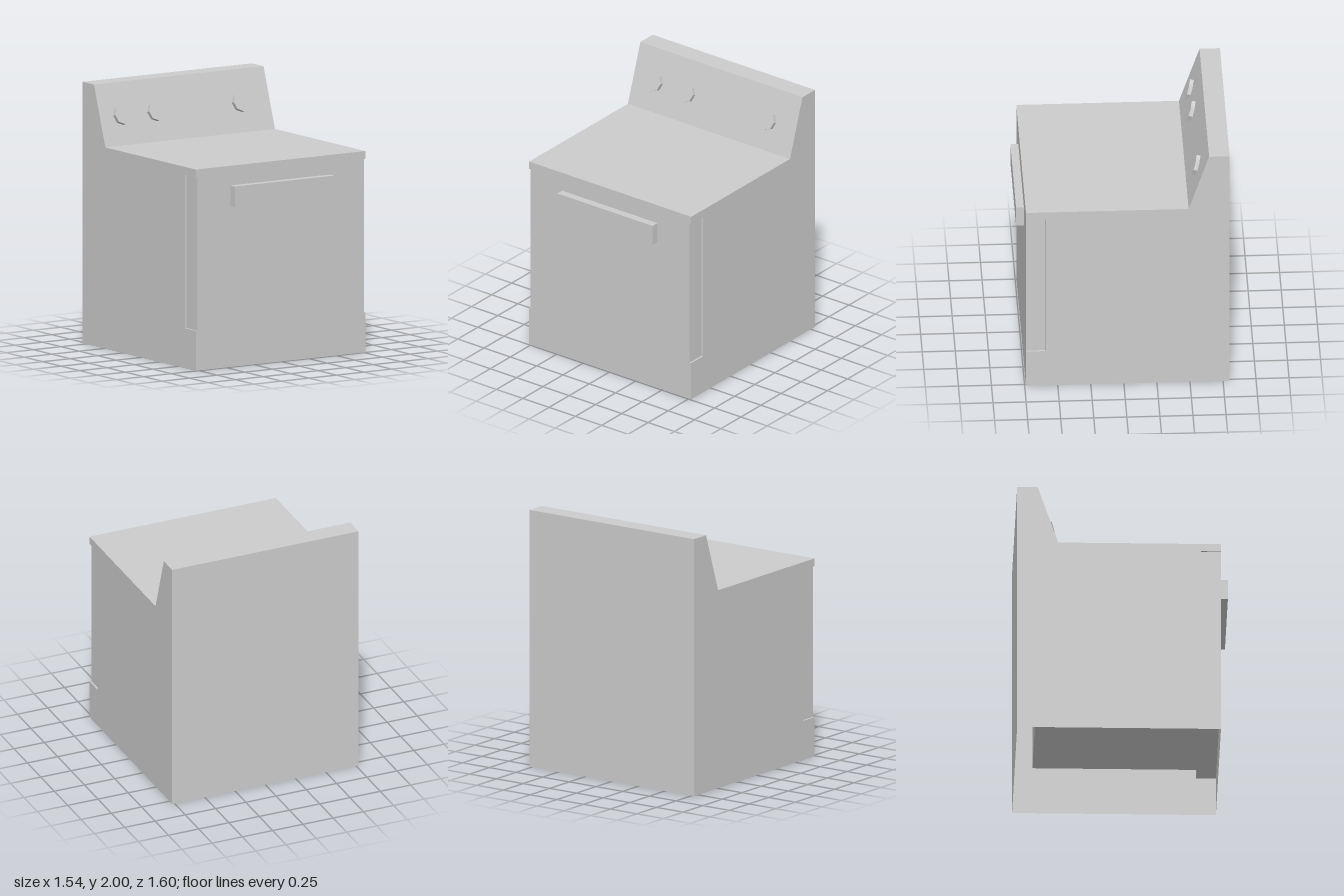
import * as THREE from 'three';

const W = 0.77; // half width of the body

// Side profile as [z, y], from the front bottom edge over the top to the back bottom edge
const PROFILE = [
  [0.74, 0], [0.74, 0.305], [0.59, 0.305], [0.59, 1.48], [0.74, 1.48],
  [0.74, 1.54], [-0.49, 1.54], [-0.645, 2], [-0.8, 2], [-0.8, 0],
];

const solid = new THREE.MeshStandardMaterial({ color: 0xcccccc, flatShading: true });
const sheet = new THREE.MeshStandardMaterial({ color: 0xcccccc, flatShading: true, side: THREE.DoubleSide });

function add(parent, name, geometry, material = solid) {
  const mesh = new THREE.Mesh(geometry, material);
  mesh.name = name;
  parent.add(mesh);
  return mesh;
}

// Box given by its minimum and maximum corners
function block(parent, name, min, max) {
  const size = max.map((v, i) => v - min[i]);
  const mesh = add(parent, name, new THREE.BoxGeometry(...size));
  mesh.position.set(...max.map((v, i) => (v + min[i]) / 2));
  return mesh;
}

// One flat panel across the width for each step of the profile, open at the bottom
function casingGeometry() {
  const pos = [];
  for (let i = 0; i < PROFILE.length - 1; i++) {
    const [z0, y0] = PROFILE[i], [z1, y1] = PROFILE[i + 1];
    pos.push(-W, y0, z0, W, y0, z0, W, y1, z1);
    pos.push(-W, y0, z0, W, y1, z1, -W, y1, z1);
  }
  const g = new THREE.BufferGeometry();
  g.setAttribute('position', new THREE.Float32BufferAttribute(pos, 3));
  g.computeVertexNormals();
  return g;
}

// Eight-sided knob with a small pointer at the top
function knobGeometry() {
  const r = 0.077, pts = [];
  for (let i = 1; i < 8; i++) {
    const a = Math.PI / 2 + (i * Math.PI) / 4;
    pts.push(new THREE.Vector2(r * Math.cos(a), r * Math.sin(a)));
  }
  pts.push(new THREE.Vector2(0.025, 0.066), new THREE.Vector2(0, 0.09), new THREE.Vector2(-0.025, 0.066));
  return new THREE.ExtrudeGeometry(new THREE.Shape(pts), { depth: 0.03, bevelEnabled: false });
}

export function createModel() {
  const stove = new THREE.Group();
  stove.name = 'stove';

  // Hollow body with a recess for the door
  add(stove, 'casing', casingGeometry(), sheet);
  const sideGeometry = new THREE.ShapeGeometry(
    new THREE.Shape(PROFILE.map(([z, y]) => new THREE.Vector2(z, y))));
  sideGeometry.rotateY(-Math.PI / 2);
  for (const s of [-1, 1]) {
    const side = add(stove, s < 0 ? 'rightSide' : 'leftSide', sideGeometry, sheet);
    side.scale.x = -s;
    side.position.x = s * W;
  }

  // Oven chamber inside the body
  block(stove, 'ovenChamber', [-0.62, 0.305, -0.65], [0.62, 1.39, 0.59]);

  // Door, slightly narrower than the body, and its handle
  block(stove, 'door', [-0.755, 0.305, 0.59], [0.755, 1.48, 0.74]);
  block(stove, 'doorHandle', [-0.455, 1.23, 0.74], [0.45, 1.39, 0.8]);

  // Knobs on the sloping control panel
  const slope = 0.155 / 0.46, knobY = 1.76;
  const knob = knobGeometry();
  for (const x of [-0.572, -0.264, 0.505]) {
    const mesh = add(stove, 'knob', knob);
    mesh.position.set(x, knobY, -0.49 - (knobY - 1.54) * slope);
    mesh.rotation.x = -Math.atan(slope);
  }
  return stove;
}
